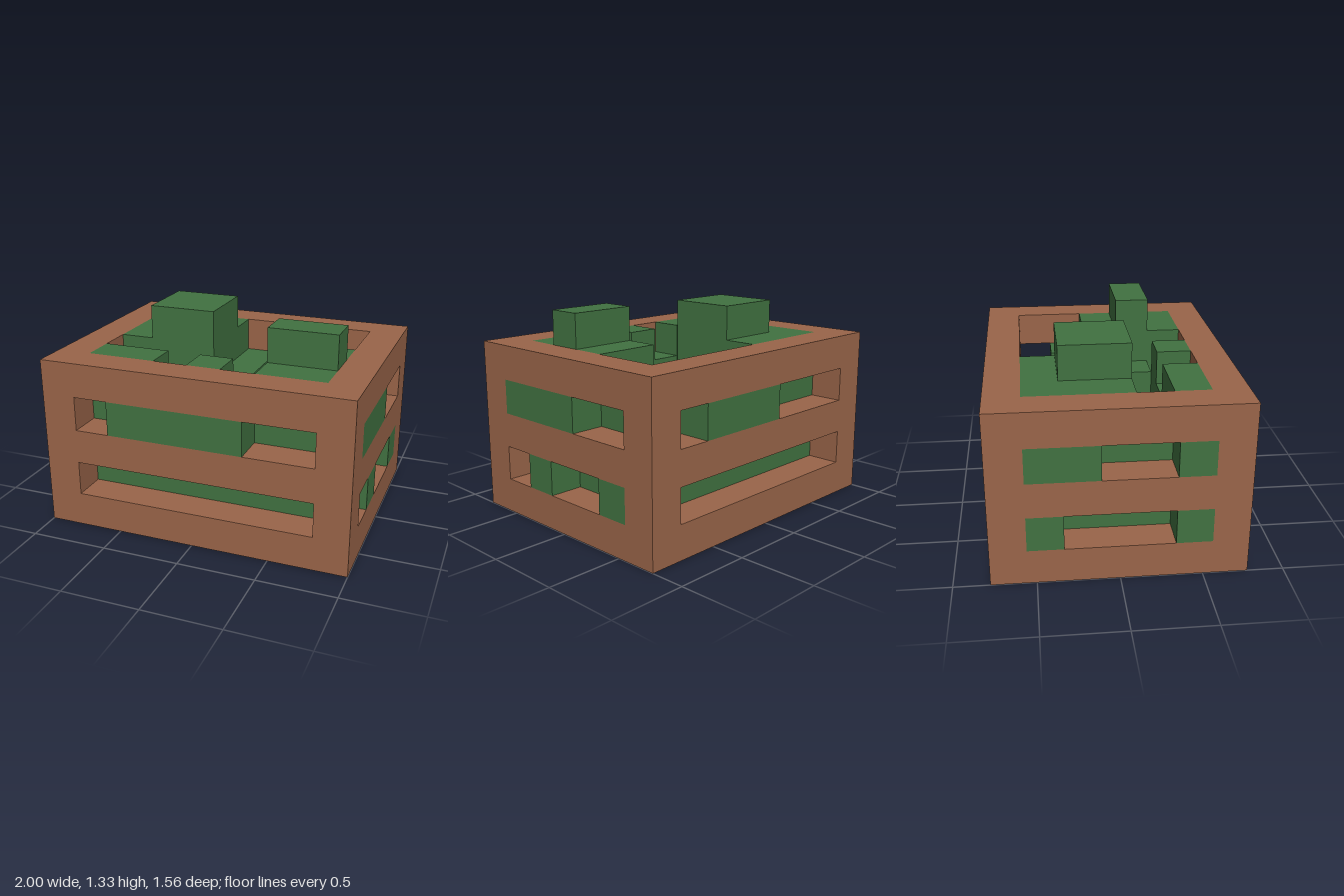
import * as THREE from 'three';

const U = 2 / 9; // one block

export function createModel() {
  const model = new THREE.Group();
  const wood = new THREE.MeshStandardMaterial({ color: 0x9a6549 });
  wood.name = 'wood brown';
  const leaf = new THREE.MeshStandardMaterial({ color: 0x417241 });
  leaf.name = 'leaf green';

  // Box spanning block coordinates: x 0..9 from the -x side, y 0..6, z 0..7 from the back
  function block(parent, name, mat, x0, x1, y0, y1, z0, z1) {
    const mesh = new THREE.Mesh(
      new THREE.BoxGeometry((x1 - x0) * U, (y1 - y0) * U, (z1 - z0) * U), mat);
    mesh.position.set(((x0 + x1) / 2 - 4.5) * U, ((y0 + y1) / 2) * U, ((z0 + z1) / 2 - 3.5) * U);
    mesh.name = name;
    parent.add(mesh);
  }

  // Crate: slotted front and back panels, side rails and a floor
  const crate = new THREE.Group();
  crate.name = 'crate';
  model.add(crate);

  const rect = (path, x0, x1, y0, y1) => path
    .moveTo(x0 * U, y0 * U).lineTo(x1 * U, y0 * U)
    .lineTo(x1 * U, y1 * U).lineTo(x0 * U, y1 * U).closePath();
  const panel = rect(new THREE.Shape(), -4.5, 4.5, 0, 5);
  for (const y of [1, 3]) panel.holes.push(rect(new THREE.Path(), -3.5, 3.5, y, y + 1));
  const panelGeometry = new THREE.ExtrudeGeometry(panel, { depth: U, bevelEnabled: false });
  for (const [name, z] of [['frontPanel', 2.5], ['backPanel', -3.5]]) {
    const mesh = new THREE.Mesh(panelGeometry, wood);
    mesh.position.z = z * U;
    mesh.name = name;
    crate.add(mesh);
  }
  for (const y of [0, 2, 4]) {
    block(crate, 'rightRail', wood, 0, 1, y, y + 1, 1, 6);
    block(crate, 'leftRail', wood, 8, 9, y, y + 1, 1, 6);
  }
  block(crate, 'floor', wood, 1, 8, 0, 1, 1, 6);

  // Foliage inside: top height of each column, rows from back to front
  const foliage = new THREE.Group();
  foliage.name = 'foliage';
  model.add(foliage);
  const heights = ['5554433', '5664334', '5664355', '4433466', '5545355'];
  heights.forEach((row, r) => {
    for (let i = 0; i < 7;) {
      let end = i + 1;
      while (row[end] === row[i]) end++;
      block(foliage, 'leafColumn', leaf, i + 1, end + 1, 1, +row[i], r + 1, r + 2);
      i = end;
    }
  });

  // Foliage poking through the slots, flush with the outside
  const plugs = [
    ['frontLeaves', 2, 6, 3, 6, 7],
    ['backLeaves', 4, 7, 3, 0, 1],
    ['leftLeaves', 8, 9, 3, 3, 6],
    ['leftLeaves', 8, 9, 1, 4, 5],
    ['leftLeaves', 8, 9, 1, 1, 2],
    ['rightLeaves', 0, 1, 3, 1, 3],
    ['rightLeaves', 0, 1, 3, 5, 6],
    ['rightLeaves', 0, 1, 1, 1, 2],
    ['rightLeaves', 0, 1, 1, 5, 6],
  ];
  for (const [name, x0, x1, y, z0, z1] of plugs) {
    block(foliage, name, leaf, x0, x1, y, y + 1, z0, z1);
  }
  return model;
}
